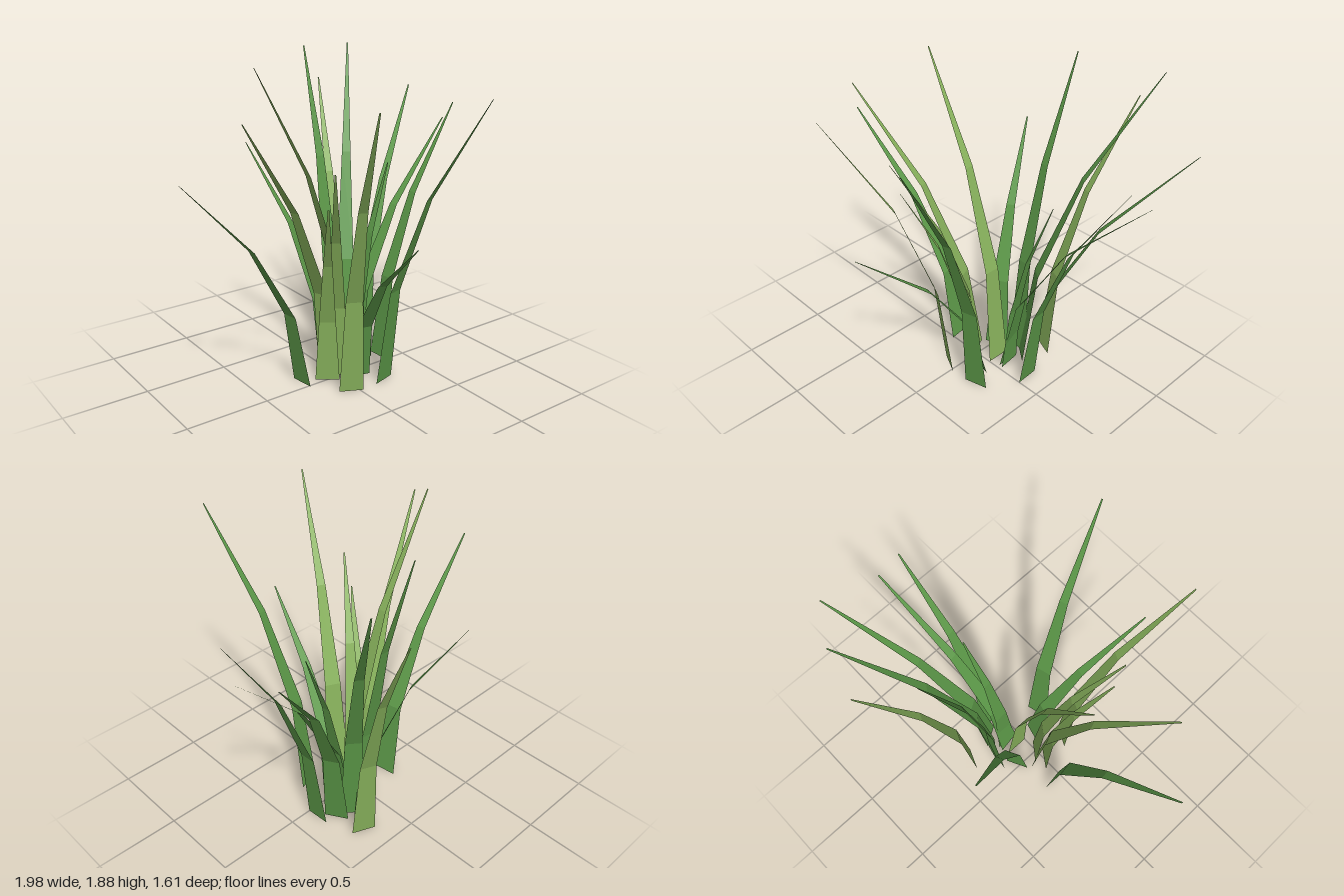
import * as THREE from 'three';

const BASE_WIDTH = 0.143, TIP_WIDTH = 0.008;

// Flat strip of three segments: rises evenly, bends outward quadratically, tapers to the tip
function bladeGeometry(bx, bz, tx, tz, height) {
  const geo = new THREE.PlaneGeometry(1, 1, 1, 3);
  const pos = geo.attributes.position;
  const dx = tx - bx, dz = tz - bz, len = Math.hypot(dx, dz);
  const sideX = dz / len, sideZ = -dx / len;
  for (let i = 0; i < pos.count; i++) {
    const t = pos.getY(i) + 0.5;
    const s = pos.getX(i) * THREE.MathUtils.lerp(BASE_WIDTH, TIP_WIDTH, t);
    pos.setXYZ(i, bx + dx * t * t + sideX * s, height * t, bz + dz * t * t + sideZ * s);
  }
  const flat = geo.toNonIndexed();
  flat.computeVertexNormals();
  return flat;
}

export function createModel() {
  const group = new THREE.Group();
  group.name = 'grassTuft';
  const make = (name, color) => {
    const m = new THREE.MeshStandardMaterial({ color, side: THREE.DoubleSide, flatShading: true });
    m.name = name;
    return m;
  };
  const green = make('leaf green', 0x5c9848);
  const olive = make('yellow green', 0x88b25c);

  // Blades: base x, base z, tip x, tip z, height
  const greenBlades = [
    [-0.22, -0.06, -0.99, 0.05, 1.36],
    [0.10, 0.065, -0.09, 0.78, 1.05],
    [0.19, 0.195, 0.35, 0.80, 1.745],
    [0.36, -0.07, 0.94, -0.10, 1.53],
    [0.165, -0.09, 0.98, -0.23, 1.41],
    [0.28, -0.15, 0.99, -0.575, 1.57],
    [0.19, -0.19, 0.62, -0.75, 1.85],
    [0.125, -0.225, 0.17, -0.58, 1.88],
    [0.015, -0.155, -0.22, -0.625, 1.34],
    [0.19, -0.09, 0.45, -0.12, 1.22],
  ];
  const oliveBlades = [
    [-0.04, -0.04, -0.74, 0.245, 1.66],
    [0.11, -0.075, -0.47, -0.085, 1.86],
    [-0.08, 0.0, -0.29, 0.31, 1.17],
    [0.0, -0.015, -0.29, 0.37, 1.37],
    [-0.045, 0.19, -0.33, 0.765, 1.75],
    [0.24, -0.34, 0.435, -0.81, 1.64],
  ];

  for (const [blades, material, name] of [
    [greenBlades, green, 'greenBlade'], [oliveBlades, olive, 'oliveBlade'],
  ]) {
    blades.forEach((b, i) => {
      const mesh = new THREE.Mesh(bladeGeometry(...b), material);
      mesh.name = name + (i + 1);
      group.add(mesh);
    });
  }
  return group;
}
